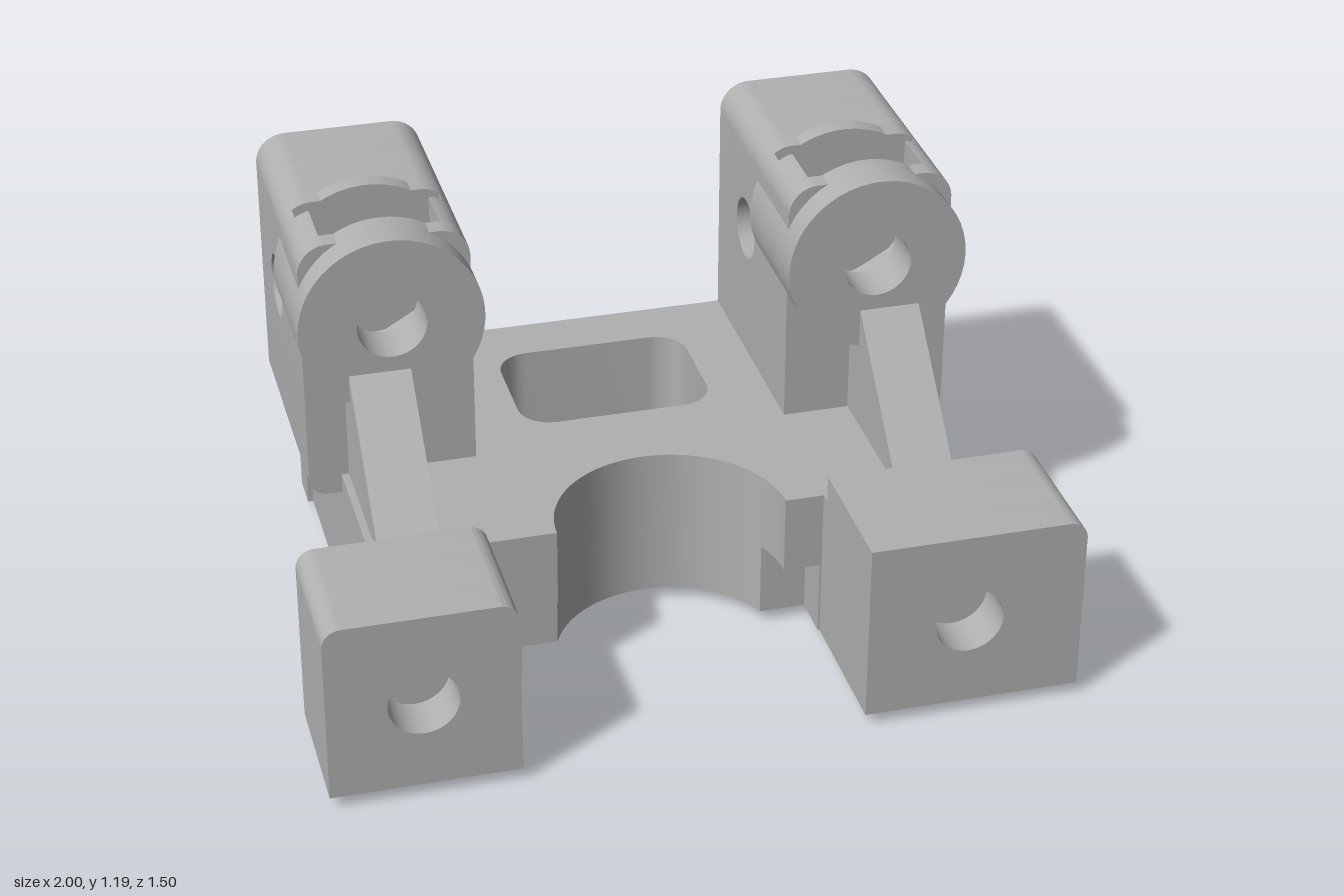
import * as THREE from 'three';
import { toCreasedNormals } from 'three/addons/utils/BufferGeometryUtils.js';

const PI = Math.PI;
const BORE = 0.093;
const metal = new THREE.MeshStandardMaterial({ color: 0xb0b0b0, side: THREE.DoubleSide });
metal.name = 'grey';

function arc(cx, cy, r, a0, a1) {
  if (r === 0) return [[cx, cy]];
  const n = Math.max(3, Math.ceil(Math.abs(a1 - a0) / 0.13));
  return Array.from({ length: n + 1 }, (_, i) => {
    const a = a0 + (a1 - a0) * i / n;
    return [cx + r * Math.cos(a), cy + r * Math.sin(a)];
  });
}

// Outline of a U slot: round seat for a washer, pointed seat for a hex nut
function slotSeat(s, hex) {
  return hex ? [[s, -0.577 * s], [0, -1.155 * s], [-s, -0.577 * s]] : arc(0, 0, s, 0, -PI);
}

function toShape(pts, bore, flip) {
  const shape = new THREE.Shape(pts.map(([x, y]) => new THREE.Vector2(x, flip ? -y : y)));
  if (bore) shape.holes.push(new THREE.Path().absarc(0, 0, bore, 0, 2 * PI, true));
  return shape;
}

// Rounded rectangle about a bore centre; r = radii [bottom left, bottom right, top right, top left]
function block(x0, x1, y0, y1, r, { slot = 0, hex = false, bore = 0, flip = false } = {}) {
  const [bl, br, tr, tl] = r;
  const cut = (edge, rad) => slot > edge - rad && rad ? Math.acos((slot - edge + rad) / rad) : PI / 2;
  const aR = slot ? cut(x1, tr) : PI / 2, aL = slot ? cut(-x0, tl) : PI / 2;
  const pts = [
    ...arc(x0 + bl, y0 + bl, bl, PI, 1.5 * PI), ...arc(x1 - br, y0 + br, br, 1.5 * PI, 2 * PI),
    ...arc(x1 - tr, y1 - tr, tr, 0, aR),
  ];
  if (slot) {
    if (aR === PI / 2) pts.push([slot, y1]);
    pts.push(...slotSeat(slot, hex));
    if (aL === PI / 2) pts.push([-slot, y1]);
  }
  pts.push(...arc(x0 + tl, y1 - tl, tl, PI - aL, PI));
  return toShape(pts, bore, flip);
}

// Disc with a bore or an open slot
function disc(R, { slot = 0, hex = false, bore = 0 } = {}) {
  if (!slot) return toShape(arc(0, 0, R, 0, 2 * PI).slice(0, -1), bore);
  const a = Math.acos(slot / R);
  return toShape([...arc(0, 0, R, PI - a, 2 * PI + a), ...slotSeat(slot, hex)]);
}

function extrude(shape, depth) {
  return new THREE.ExtrudeGeometry(shape, { depth, bevelEnabled: false, curveSegments: 24 });
}

function add(parent, name, geo) {
  const mesh = new THREE.Mesh(toCreasedNormals(geo, 0.6), metal);
  mesh.name = name;
  parent.add(mesh);
}

// Slab along z, placed at a bore centre
function slab(parent, name, shape, cx, cy, z0, z1) {
  add(parent, name, extrude(shape, z1 - z0).translate(cx, cy, z0));
}

// Slab along y from a plan drawn in x and z
function planSlab(parent, name, shape, y0, y1) {
  add(parent, name, extrude(shape, y1 - y0).rotateX(PI / 2).translate(0, y1, 0));
}

// Front of the base with the round cut-out; the lower layer is set back beside it
function frontPlan(notched) {
  const s = new THREE.Shape();
  const a = notched ? 0.415 : 0;
  s.moveTo(-0.8, -0.19).lineTo(0.8, -0.19).lineTo(0.8, 0.38).lineTo(0.415, 0.38).lineTo(0.415, 0.345);
  if (notched) s.lineTo(0.41, 0.345).lineTo(0.41, 0.22);
  s.absarc(0, 0.345, 0.31, -a, -PI + a, true);
  if (notched) s.lineTo(-0.41, 0.22).lineTo(-0.41, 0.345);
  s.lineTo(-0.5, 0.345).lineTo(-0.5, 0.38).lineTo(-0.8, 0.38);
  return s;
}

// Everything that is the same on both sides, built for +x
function buildSide() {
  const side = new THREE.Group();

  // Upright post with clamp cylinder, cut in slices along the bore
  const X = 0.66, Y = 0.95, W = 0.2275, R = 0.247;
  const post = (o) => block(-W, W, -0.535, 0.215, [0, 0.05, 0.08, 0.08], o);
  const full = { bore: BORE }, nut = { slot: 0.16, hex: true }, washer = { slot: 0.197 };
  slab(side, 'clampFace', disc(R, full), X, Y, -0.135, 0);
  slab(side, 'postFront', post(full), X, Y, -0.135, -0.08);
  for (const [name, o, z0, z1] of [['nutSlot', nut, -0.28, -0.135], ['washerSlot', washer, -0.325, -0.28]]) {
    slab(side, name + 'Post', post(o), X, Y, z0, z1);
    slab(side, name + 'Clamp', disc(R, o), X, Y, z0, z1);
  }
  slab(side, 'clampRear', disc(R, full), X, Y, -0.375, -0.325);
  slab(side, 'postMiddle', post(full), X, Y, -0.39, -0.325);
  slab(side, 'postRear', post(full), X, Y, -0.75, -0.57);

  // Slice of the post crossed by the sideways hole
  slab(side, 'postArch', block(-W, W, -0.215, 0, [0.08, 0.08, 0, 0], { slot: BORE, flip: true }), X, Y, -0.57, -0.39);
  slab(side, 'postFoot', block(-W, W, -0.535, -0.21, [0, 0.05, 0, 0]), X, Y, -0.57, -0.39);
  const square = [0, 0, 0, 0];
  const wall = block(-0.09, 0.09, -0.105, 0.105, square, { bore: 0.087 });
  const saddle = block(-0.09, 0.09, -0.105, 0, square, { slot: 0.087 });
  for (const [shape, x0, x1] of [[wall, X - W, X - BORE], [saddle, X - BORE, X + BORE], [wall, X + BORE, X + W]]) {
    add(side, 'crossHole', extrude(shape, x1 - x0).rotateY(PI / 2).translate(x0, 0.845, -0.48));
  }

  // Sloping rib
  const rib = new THREE.Shape();
  rib.moveTo(0.35, 0.45).lineTo(0.35, 0.47).lineTo(0, 0.815).lineTo(-0.1, 0.815).lineTo(-0.1, 0.45);
  add(side, 'rib', extrude(rib, 0.165).rotateY(-PI / 2).translate(0.78, 0, 0));

  // Rear half of the base with a blind bore and slots open below
  const bx = 0.54, by = 0.29;
  const base = (o) => block(-0.26, 0.26, -0.18, 0.25, square, { flip: true, ...o });
  for (const [name, o, z0, z1] of [
    ['baseRear', full, -0.75, -0.57], ['baseWasherSlot', { slot: 0.17 }, -0.57, -0.52],
    ['baseNutSlot', { slot: 0.145, hex: true }, -0.52, -0.375],
    ['baseBore', full, -0.375, -0.24], ['baseSolid', {}, -0.24, -0.19],
  ]) slab(side, name, base(o), bx, by, z0, z1);

  // Round bosses showing under the base
  const half = Math.acos(0.24 / 0.285);
  const chord = toShape(arc(0, 0, 0.285, -PI / 2 - half, -PI / 2 + half));
  slab(side, 'bottomBoss', chord, bx, by, -0.375, -0.24);
  slab(side, 'bottomBoss', chord, bx, by, -0.615, -0.57);

  // Slightly wider strip at the back corner
  add(side, 'rearStrip', new THREE.BoxGeometry(0.025, 0.38, 0.105).translate(0.8025, 0.23, -0.6975));
  return side;
}

// Front foot with bolt hole and a nut pocket open below
function buildFoot(parent, name, cx, xMin, xMax, radii) {
  const foot = new THREE.Group();
  foot.name = name;
  const shape = (o) => block(xMin - cx, xMax - cx, -0.255, 0.25, radii, { flip: true, ...o });
  slab(foot, 'footBack', shape({ bore: BORE }), cx, 0.29, 0.375, 0.48);
  slab(foot, 'footNutSlot', shape({ slot: 0.16, hex: true }), cx, 0.29, 0.48, 0.62);
  slab(foot, 'footFront', shape({ bore: BORE }), cx, 0.29, 0.62, 0.75);
  parent.add(foot);
}

export function createModel() {
  const model = new THREE.Group();
  model.name = 'bracket';

  for (const s of [1, -1]) {
    const side = buildSide();
    side.name = s > 0 ? 'leftSide' : 'rightSide';
    side.scale.x = s;
    model.add(side);
  }

  // Base front layers
  planSlab(model, 'baseFrontUpper', frontPlan(false), 0.25, 0.47);
  planSlab(model, 'baseFrontLower', frontPlan(true), 0.04, 0.25);

  // Middle of the base with the rounded window
  const middle = new THREE.Shape();
  middle.moveTo(-0.28, -0.75).lineTo(0.28, -0.75).lineTo(0.28, -0.19).lineTo(-0.28, -0.19);
  const w = 0.27, r = 0.09, zb = -0.59, zf = -0.2;
  middle.holes.push(new THREE.Path([
    ...arc(w - r, zf - r, r, 0, PI / 2), ...arc(-w + r, zf - r, r, PI / 2, PI),
    ...arc(-w + r, zb + r, r, PI, 1.5 * PI), ...arc(w - r, zb + r, r, 1.5 * PI, 2 * PI),
  ].map(([x, z]) => new THREE.Vector2(x, z))));
  planSlab(model, 'baseMiddle', middle, 0.04, 0.47);

  // Feet, and the fillets joining them to the base
  buildFoot(model, 'rightFoot', -0.75, -1, -0.5, [0.05, 0.05, 0, 0]);
  buildFoot(model, 'leftFoot', 0.69, 0.415, 1, [0, 0.05, 0, 0]);
  for (const [s, y0, y1] of [[1, 0.04, 0.47], [-1, 0.04, 0.21], [-1, 0.37, 0.47]]) {
    const pts = [[0.79, 0.376], [0.79, 0.325], ...arc(0.85, 0.325, 0.05, PI, PI / 2)];
    planSlab(model, 'fillet', toShape(pts.map(([x, z]) => [s * x, z])), y0, y1);
  }
  return model;
}
